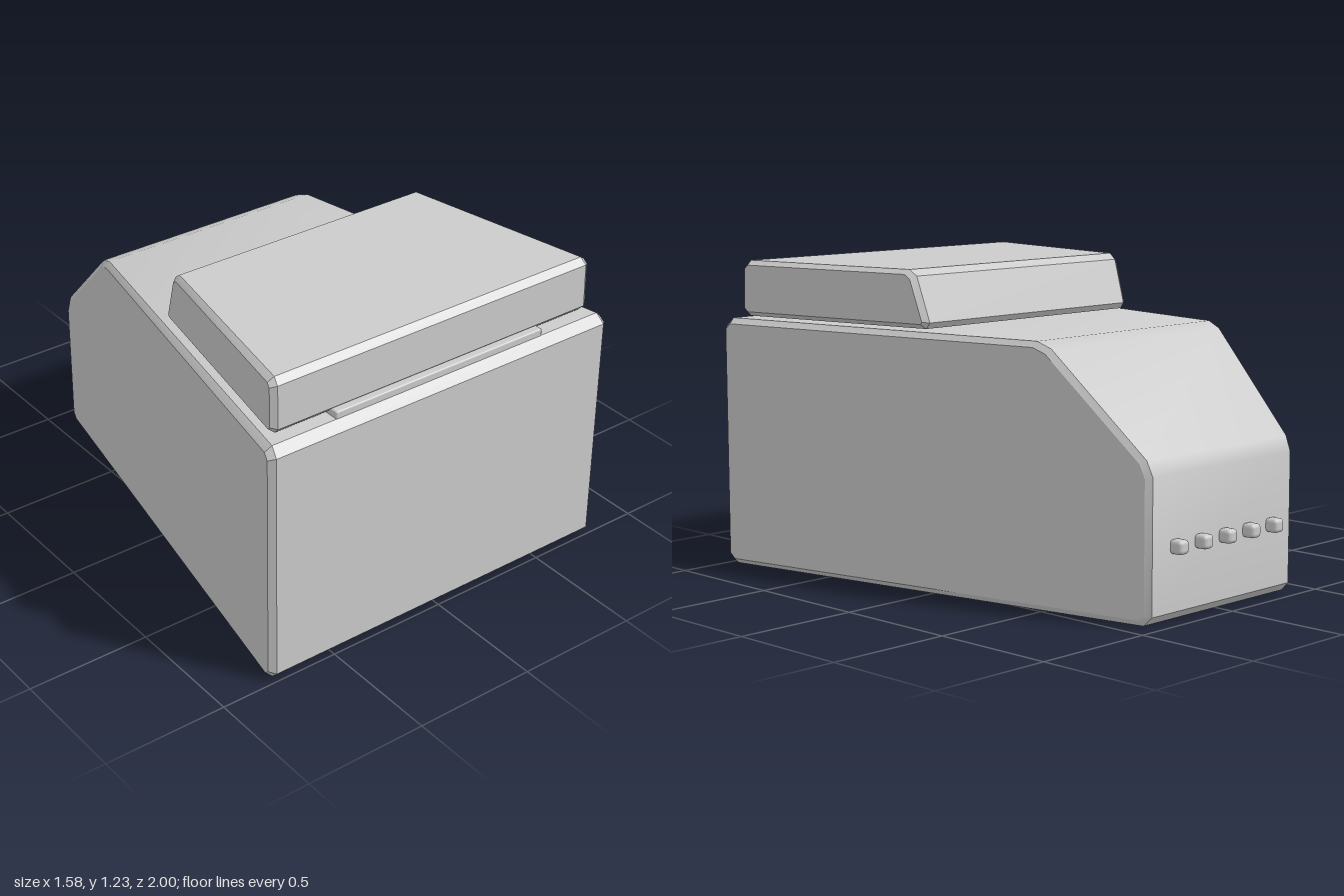
import * as THREE from 'three';
import { toCreasedNormals } from 'three/addons/utils/BufferGeometryUtils.js';
import { RoundedBoxGeometry } from 'three/addons/geometries/RoundedBoxGeometry.js';

const material = new THREE.MeshStandardMaterial({ color: 0xcccccc });

function addMesh(parent, name, geometry, x = 0, y = 0, z = 0) {
  const mesh = new THREE.Mesh(geometry, material);
  mesh.name = name;
  mesh.position.set(x, y, z);
  parent.add(mesh);
  return mesh;
}

// Polygon with every corner cut off at the given distance
function chamferedShape(corners, cut) {
  const points = corners.map(([a, b]) => new THREE.Vector2(a, b));
  const out = [];
  points.forEach((p, i) => {
    for (const q of [points.at(i - 1), points[(i + 1) % points.length]]) {
      out.push(p.clone().add(q.clone().sub(p).setLength(cut)));
    }
  });
  return new THREE.Shape(out);
}

// Side profile in (z, y), extruded across x, its half width varying with z
function taperedBlock(corners, cut, bevel, halfWidth) {
  const edge = 0.035;
  const geometry = new THREE.ExtrudeGeometry(chamferedShape(corners, cut), {
    depth: 2 - 2 * edge, bevelEnabled: true, bevelSegments: 1,
    bevelThickness: edge, bevelSize: bevel, bevelOffset: -bevel,
  });
  geometry.translate(0, 0, edge - 1);
  geometry.rotateY(-Math.PI / 2);
  const pos = geometry.attributes.position;
  for (let i = 0; i < pos.count; i++) {
    pos.setX(i, pos.getX(i) * halfWidth(pos.getZ(i)));
  }
  return toCreasedNormals(geometry, 0.5);
}

export function createModel() {
  const group = new THREE.Group();

  // Wedge-shaped housing, narrow and sloped at the back
  addMesh(group, 'housing', taperedBlock(
    [[1, 0], [1, 1], [-0.5, 1], [-0.95, 0.58], [-0.95, 0]],
    0.035, 0.022, (z) => 0.595 + 0.197 * z));

  // Raised lid with a slanted rear face
  addMesh(group, 'lid', taperedBlock(
    [[0.94, 1.008], [0.935, 1.23], [0.11, 1.23], [0.035, 1.008]],
    0.025, 0.018, (z) => 0.555 + 0.195 * z));

  // Thin slide plate beneath the lid, showing along the front
  addMesh(group, 'slidePlate',
    new RoundedBoxGeometry(0.96, 0.036, 0.785, 1, 0.006), 0, 1.01, 0.573);

  // Row of small knobs on the rear face
  const knob = new RoundedBoxGeometry(0.054, 0.054, 0.06, 2, 0.016);
  for (let i = -2; i <= 2; i++) {
    addMesh(group, `knob${i + 3}`, knob, i * 0.137 - 0.003, 0.28, -0.97);
  }
  return group;
}
